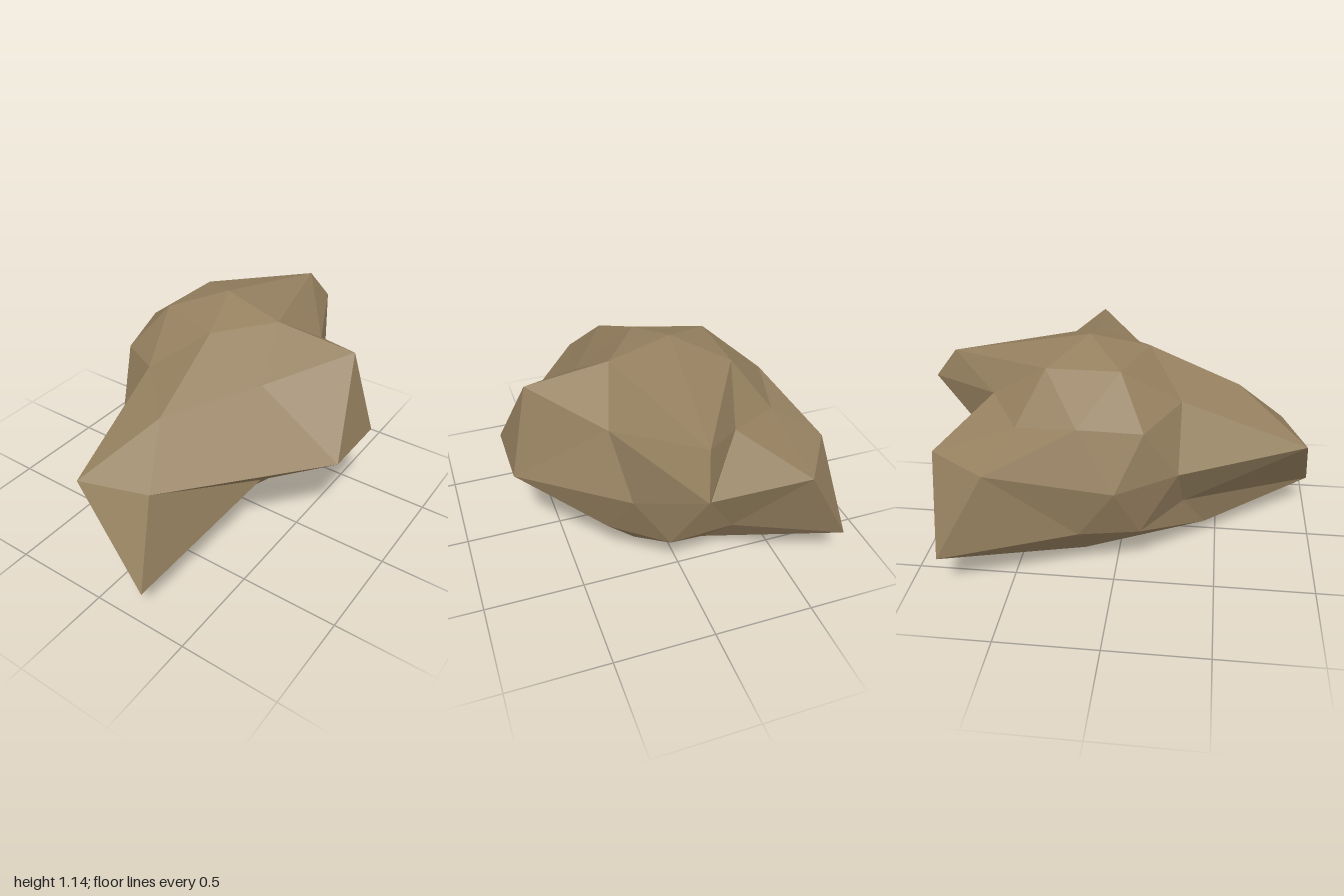
import * as THREE from 'three';
import { ConvexGeometry } from 'three/addons/geometries/ConvexGeometry.js';

const CENTRE = new THREE.Vector3(-0.06, 0.57, -0.16);
const RADIUS = 0.57;

// Point on the base sphere: height from -1 to 1, azimuth in degrees (0 = +x, 90 = +z)
function spherePoint(height, azimuth) {
  const a = THREE.MathUtils.degToRad(azimuth);
  const r = Math.sqrt(Math.max(0, 1 - height * height));
  return new THREE.Vector3(r * Math.cos(a), height, r * Math.sin(a))
    .multiplyScalar(RADIUS).add(CENTRE);
}

// Rings of a once-subdivided icosahedron standing on a corner: height, first azimuth, count
const UPPER_CAP = 0.85065, UPPER_MID = 0.52573, UPPER = 0.44721;
const RINGS = [
  [1, 0, 1], [UPPER_CAP, 0, 5], [UPPER_MID, 36, 5], [UPPER, 0, 5],
  [0, 18, 10],
  [-UPPER, 36, 5], [-UPPER_MID, 0, 5], [-UPPER_CAP, 36, 5], [-1, 0, 1],
];

// Corners pulled out of the sphere: height, azimuth, new position
const PULLS = [
  // back peak
  [UPPER_CAP, -72, 0.02, 0.99, -0.87],
  [UPPER, -72, 0.07, 0.82, -1.0],
  // left shoulder
  [UPPER, 0, 0.65, 1.01, -0.18],
  [0, 18, 0.75, 0.57, 0.1],
  [0, -18, 0.75, 0.57, -0.25],
  // front spur
  [UPPER, 72, 0.08, 0.84, 0.58],
  [0, 54, 0.2, 0.61, 0.82],
  [0, 90, -0.13, 0.61, 0.93],
  [-UPPER_MID, 72, 0.275, 0.19, 1.0],
  [-UPPER_CAP, 108, -0.08, 0.1, 0.44],
  // back right corner
  [0, -162, -0.7, 0.69, -0.57],
  [0, -126, -0.5, 0.69, -0.86],
  [-UPPER_MID, -144, -0.75, 0.25, -0.81],
];

export function createModel() {
  const points = [];
  for (const [height, start, count] of RINGS) {
    for (let i = 0; i < count; i++) points.push(spherePoint(height, start + (i * 360) / count));
  }
  const geometry = new ConvexGeometry(points);

  // Move every copy of each pulled corner, keeping the facets
  const pulls = PULLS.map(([h, a, x, y, z]) => ({ from: spherePoint(h, a), to: [x, y, z] }));
  const position = geometry.attributes.position;
  const v = new THREE.Vector3();
  for (let i = 0; i < position.count; i++) {
    v.fromBufferAttribute(position, i);
    const pull = pulls.find((p) => p.from.distanceTo(v) < 0.01);
    if (pull) position.setXYZ(i, ...pull.to);
  }
  geometry.computeVertexNormals();

  const stone = new THREE.MeshStandardMaterial({ color: 0x95805f });
  stone.name = 'brownStone';
  stone.flatShading = true;

  const rock = new THREE.Mesh(geometry, stone);
  rock.name = 'rock';
  const group = new THREE.Group();
  group.name = 'boulder';
  group.add(rock);
  return group;
}
